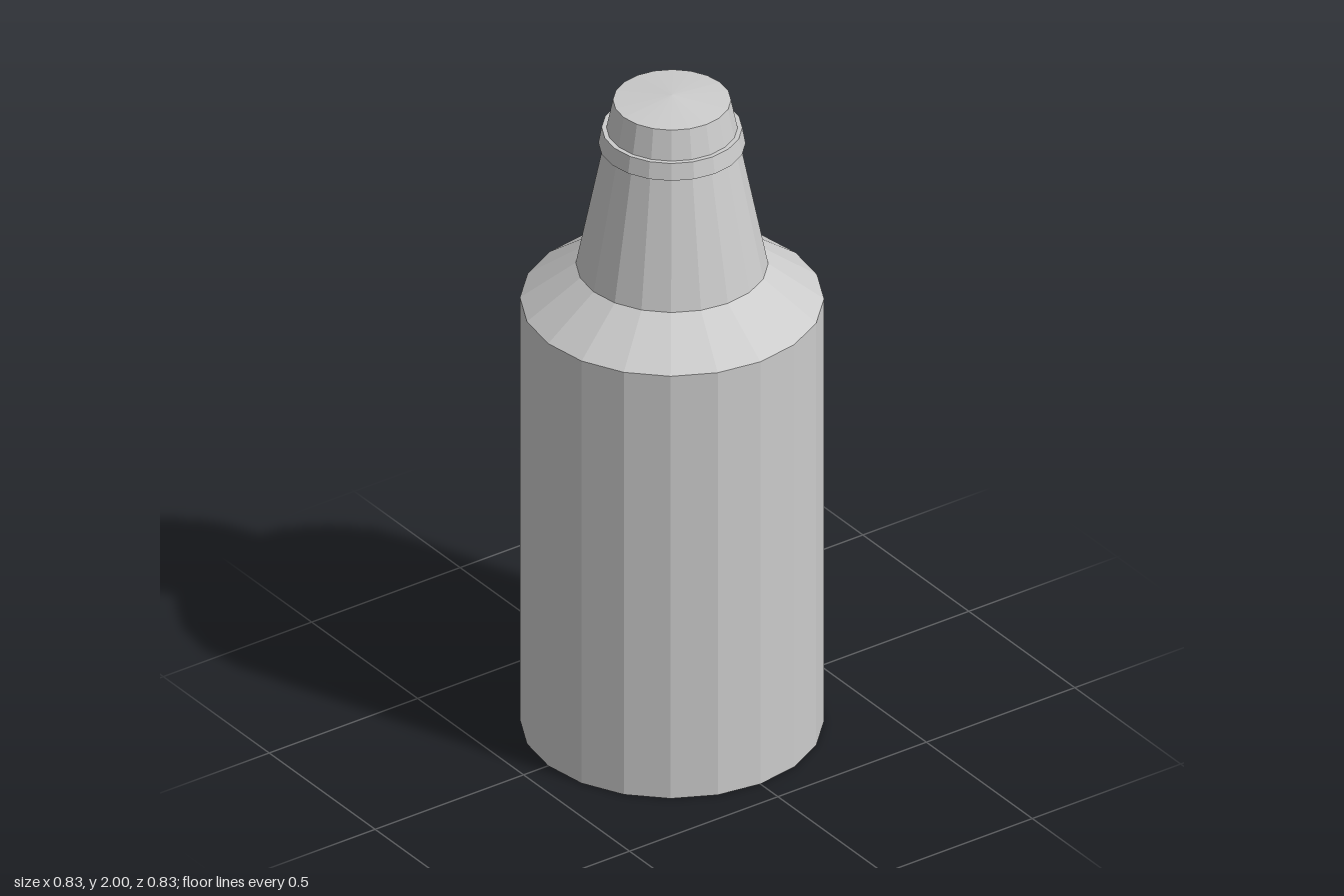
import * as THREE from 'three';

const SIDES = 20;

export function createModel() {
  const group = new THREE.Group();
  const material = new THREE.MeshStandardMaterial({ color: 0xcccccc, flatShading: true });

  // Each part is a faceted ring of profile points [radius, height], listed bottom to top.
  const addPart = (name, profile) => {
    const points = profile.map(([r, y]) => new THREE.Vector2(r, y));
    const mesh = new THREE.Mesh(new THREE.LatheGeometry(points, SIDES), material);
    mesh.name = name;
    group.add(mesh);
  };

  // Closed base and straight wall
  addPart('body', [[0, 0], [0.417, 0], [0.417, 1.35]]);
  // Slope from the wall in to the neck
  addPart('shoulder', [[0.417, 1.35], [0.264, 1.462]]);
  // Tapering neck
  addPart('neck', [[0.264, 1.462], [0.187, 1.846]]);
  // Protruding band below the cap, with its underside and upper ledge
  addPart('collar', [[0.187, 1.846], [0.202, 1.846], [0.193, 1.896], [0.18, 1.896]]);
  // Tapered cap with a slightly domed top
  addPart('cap', [[0.18, 1.896], [0.162, 1.984], [0, 2]]);

  return group;
}
